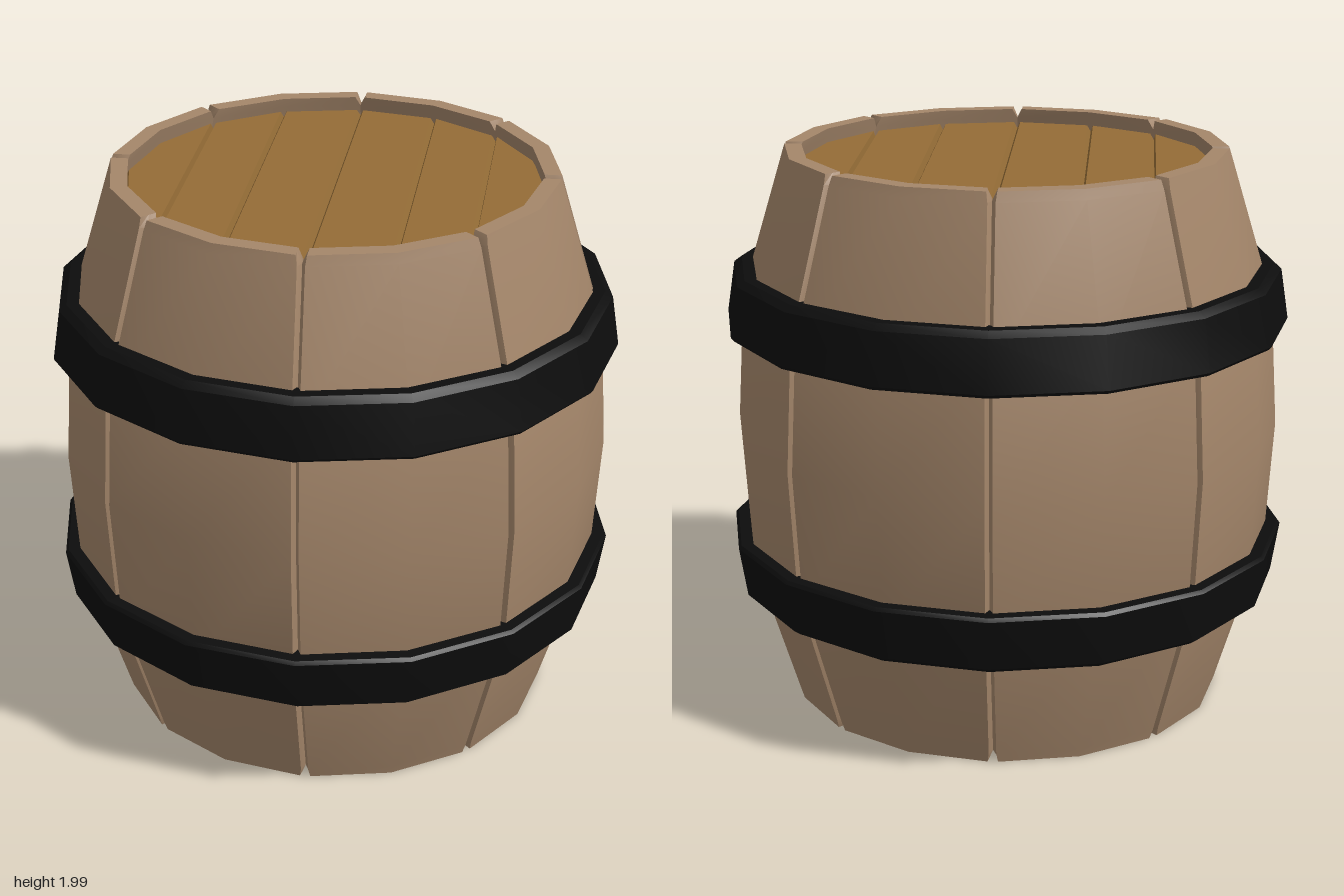
import * as THREE from 'three';
import { toCreasedNormals } from 'three/addons/utils/BufferGeometryUtils.js';

const HEIGHT = 1.99;
const SIDES = 16;
const CREASE = 0.5;

// One stave: an eight-point section lofted along the bulging profile
function staveGeometry() {
  // [height, outer radius, half gap at the inner part of the joint]
  const lower = [[0, 0.777, 0.018], [0.035, 0.788, 0], [0.54, 0.942, 0]];
  const upper = lower.map(([y, r, g]) => [HEIGHT - y, r, g]).reverse();
  const levels = [...lower, [HEIGHT / 2, 0.97, 0], ...upper];
  const pos = [], index = [];
  for (const [y, r, gap] of levels) {
    const groove = Math.max(gap, 0.013);
    const section = [
      [r - 0.03, -1, gap], [r, -1, groove], [r, 0, 0], [r, 1, groove],
      [r - 0.03, 1, gap], [r - 0.06, 1, gap], [r - 0.06, 0, 0], [r - 0.06, -1, gap],
    ];
    for (const [radius, side, g] of section) {
      const a = side * (Math.PI / 8 - g / radius);
      pos.push(radius * Math.sin(a), y, radius * Math.cos(a));
    }
  }
  const n = 8, top = (levels.length - 1) * n;
  for (let j = 0; j < top; j += n) {
    for (let i = 0; i < n; i++) {
      const k = (i + 1) % n;
      index.push(j + i, j + k, j + n + k, j + i, j + n + k, j + n + i);
    }
  }
  // End grain at both ends
  const cap = [[7, 0, 1], [7, 1, 2], [7, 2, 6], [6, 2, 3], [6, 3, 5], [5, 3, 4]];
  for (const [a, b, c] of cap) index.push(top + a, top + b, top + c, a, c, b);

  const geo = new THREE.BufferGeometry();
  geo.setAttribute('position', new THREE.Float32BufferAttribute(pos, 3));
  geo.setIndex(index);
  return toCreasedNormals(geo, CREASE);
}

// A lid plank spanning the 16-sided outline between two corner numbers
function plankGeometry(from, to) {
  const radius = 0.732, bevel = 0.013;
  const corner = (k, side) => {
    const a = (k * 2 * Math.PI) / SIDES;
    return new THREE.Vector2(side * radius * Math.cos(a), radius * Math.sin(a));
  };
  const points = [];
  for (let k = from; k <= to; k++) points.push(corner(k, 1));
  for (let k = to; k >= from; k--) {
    if (Math.abs(k) !== SIDES / 4) points.push(corner(k, -1));
  }
  const geo = new THREE.ExtrudeGeometry(new THREE.Shape(points), {
    depth: 0.02, bevelEnabled: true, bevelThickness: 0.025,
    bevelSize: bevel, bevelOffset: -bevel, bevelSegments: 1,
  });
  return geo.rotateZ(-Math.PI / 4).rotateX(-Math.PI / 2);
}

// Tapered hoop with small bevels
function hoopGeometry() {
  const profile = [
    [0.9, 1.37], [0.99, 1.37], [1.0, 1.382], [0.972, 1.56],
    [0.945, 1.58], [0.88, 1.58], [0.9, 1.37],
  ].map(([r, y]) => new THREE.Vector2(r, y));
  return toCreasedNormals(new THREE.LatheGeometry(profile, SIDES), CREASE);
}

export function createModel() {
  const staveWood = new THREE.MeshStandardMaterial({ color: 0xa4866a });
  const lidWood = new THREE.MeshStandardMaterial({ color: 0x946c36 });
  const iron = new THREE.MeshStandardMaterial({ color: 0x0d0d0d });

  const barrel = new THREE.Group();
  barrel.name = 'barrel';
  const add = (parent, name, geo, mat) => {
    const mesh = new THREE.Mesh(geo, mat);
    mesh.name = name;
    parent.add(mesh);
    return mesh;
  };

  // Eight staves around the body
  const staves = new THREE.Group();
  staves.name = 'staves';
  const stave = staveGeometry();
  for (let i = 0; i < 8; i++) {
    add(staves, 'stave', stave, staveWood).rotation.y = ((i + 0.5) * Math.PI) / 4;
  }
  barrel.add(staves);

  // Each end has a planked lid and a hoop; the bottom is the top turned over
  const hoop = hoopGeometry();
  const planks = [[-4, -2], [-2, -1], [-1, 0], [0, 1], [1, 2], [2, 4]]
    .map(([from, to]) => plankGeometry(from, to));
  for (const name of ['topEnd', 'bottomEnd']) {
    const end = new THREE.Group();
    end.name = name;
    add(end, 'hoop', hoop, iron);
    const lid = new THREE.Group();
    lid.name = 'lid';
    lid.position.y = 1.94 - 0.045;
    for (const plank of planks) add(lid, 'lidPlank', plank, lidWood);
    end.add(lid);
    if (name === 'bottomEnd') {
      end.rotation.x = Math.PI;
      end.position.y = HEIGHT;
    }
    barrel.add(end);
  }
  return barrel;
}
